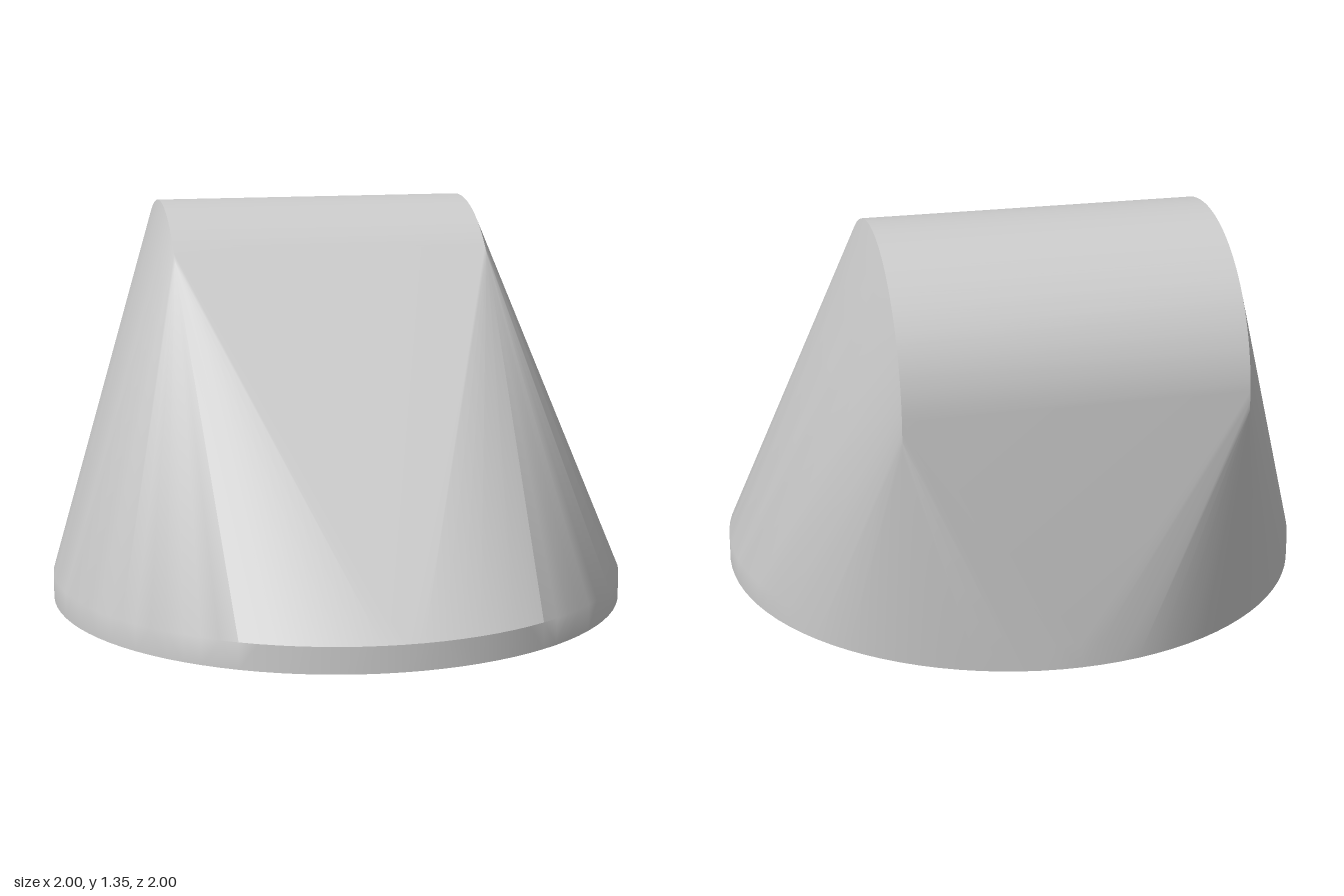
import * as THREE from 'three';
import { ConvexGeometry } from 'three/addons/geometries/ConvexGeometry.js';
import { toCreasedNormals } from 'three/addons/utils/BufferGeometryUtils.js';

// Points around a circle, each placed by a rule (cos, sin) => Vector3
function ring(count, place) {
  return Array.from({ length: count }, (_, i) => {
    const a = (i / count) * Math.PI * 2;
    return place(Math.cos(a), Math.sin(a));
  });
}

export function createModel() {
  const group = new THREE.Group();
  group.name = 'roundedWedge';

  const rimHeight = 0.09;
  const halfWidth = 0.557, radius = 0.51, axisY = 0.84, axisZ = -0.43;
  const points = [];

  // Round base with a low vertical rim
  for (const y of [0, rimHeight]) {
    points.push(...ring(96, (c, s) => new THREE.Vector3(s, y, c)));
  }

  // Both ends of the crosswise barrel that forms the rounded top
  for (const x of [-halfWidth, halfWidth]) {
    points.push(...ring(96, (c, s) => new THREE.Vector3(x, axisY + radius * s, axisZ + radius * c)));
  }

  // Skin stretched tightly over base and barrel
  const geometry = toCreasedNormals(new ConvexGeometry(points), THREE.MathUtils.degToRad(35));
  const body = new THREE.Mesh(geometry, new THREE.MeshStandardMaterial({ color: 0xcccccc }));
  body.name = 'body';
  group.add(body);

  return group;
}
